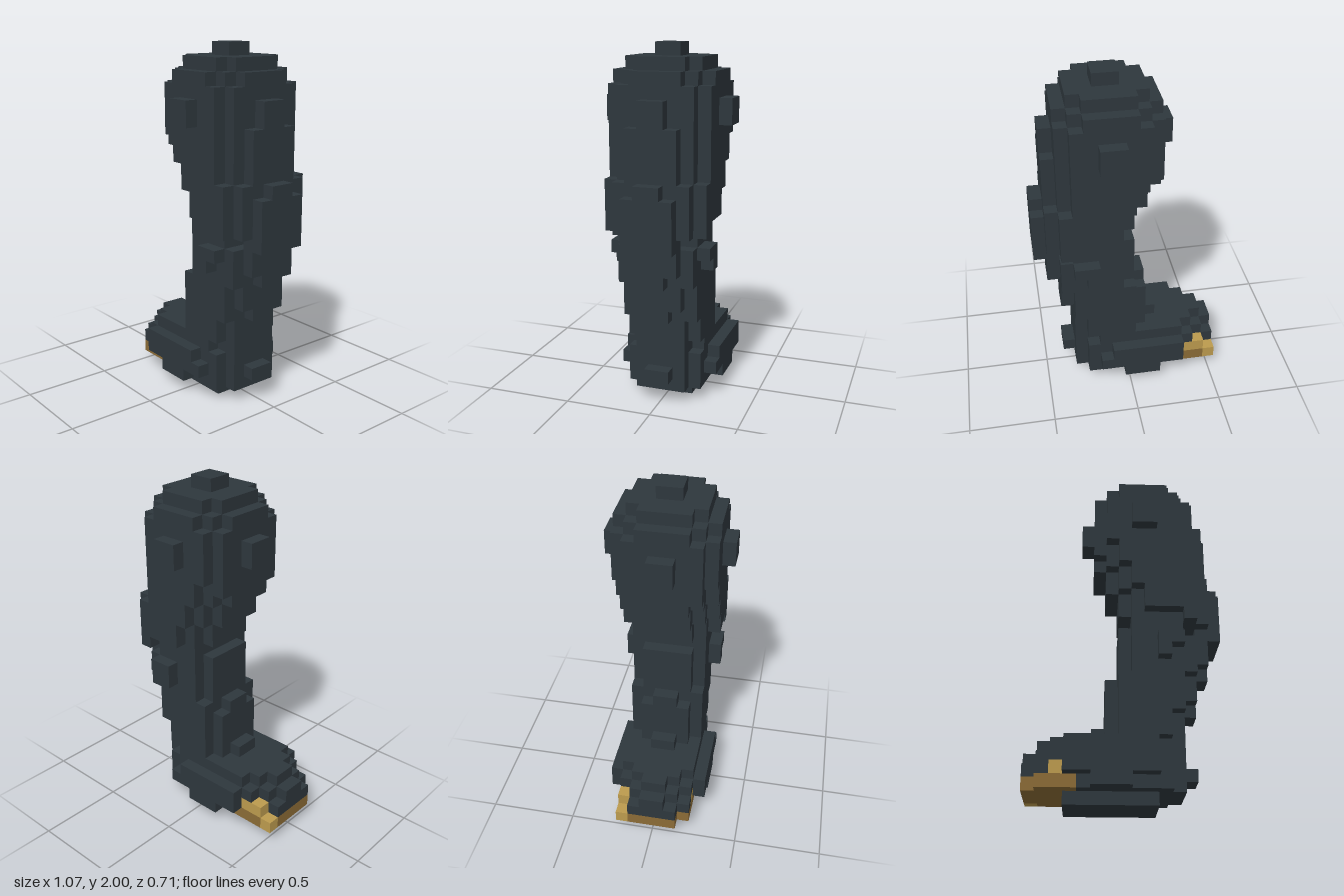
import * as THREE from 'three';
import { mergeGeometries } from 'three/addons/utils/BufferGeometryUtils.js';

const U = 1 / 14; // edge of one block

// Box between block coordinates; x counts from the toe tip, z from the centre line
function block(y0, y1, z0, z1, x0, x1) {
  const g = new THREE.BoxGeometry((x1 - x0) * U, (y1 - y0) * U, (z1 - z0) * U);
  return g.translate(((x0 + x1) / 2 - 7.5) * U, ((y0 + y1) / 2) * U, ((z0 + z1) / 2) * U);
}

// Symmetric slab: [bottom, top, half width, toe end, heel end]
const slab = ([y0, y1, h, x0, x1]) => block(y0, y1, -h, h, x0, x1);

export function createModel() {
  const group = new THREE.Group();
  const dark = new THREE.MeshStandardMaterial({ color: 0x2e373d });
  dark.name = 'darkSlate';
  const gold = new THREE.MeshStandardMaterial({ color: 0xbc9b4e });
  gold.name = 'gold';
  const bronze = new THREE.MeshStandardMaterial({ color: 0x8b6b36 });
  bronze.name = 'bronze';

  const add = (name, geometries, material) => {
    const mesh = new THREE.Mesh(mergeGeometries(geometries), material);
    mesh.name = name;
    group.add(mesh);
  };

  // Thigh: stepped octagonal layers, narrowing towards the knee
  add('thigh', [
    [26, 27, 3, 7, 11], [26, 27, 2, 6, 12],
    [25, 26, 4, 7, 11], [25, 26, 3, 6, 12], [25, 26, 2, 5, 13],
    [21, 25, 4, 6, 12], [21, 25, 3, 5, 13],
    [20, 21, 4, 7, 12], [20, 21, 3, 5, 13],
    [19, 20, 4, 7, 12], [19, 20, 3, 6, 13], [19, 20, 2, 5, 13],
    [18, 19, 4, 8, 12], [18, 19, 3, 7, 13], [18, 19, 2, 6, 13],
    [17, 18, 4, 8, 13], [17, 18, 3, 7, 14], [17, 18, 2, 6, 14],
    [15, 17, 4, 9, 13], [15, 17, 3, 8, 14], [15, 17, 2, 7, 14],
    [14, 15, 4, 12, 13], [14, 15, 3, 8, 14],
  ].map(slab), dark);

  // Raised ridge down the back of the thigh
  add('backRidge', [
    [22, 24, 1, 13, 14], [18, 22, 2, 13, 14],
    [17, 18, 1, 14, 15], [14, 17, 2, 14, 15], [13, 14, 2, 13, 15],
  ].map(slab), dark);

  // Square studs on the top, sides and front
  add('studs', [
    [27, 28, 1, 8, 10], [22, 24, 1, 4, 5],
  ].map(slab).concat([
    block(22, 24, 4, 5, 8, 10), block(22, 24, -5, -4, 8, 10),
  ]), dark);

  // Knee with small side lugs
  add('knee', [
    [13, 14, 3, 8, 12], [13, 14, 2, 7, 12],
    [12, 13, 4, 10, 12], [11, 12, 4, 10, 11],
  ].map(slab), dark);

  // Shin, stepping in towards the ankle
  add('shin', [
    [10, 13, 3, 8, 13], [10, 13, 2, 7, 13],
    [11, 13, 2, 13, 14], [10, 11, 1, 13, 14],
    [7, 10, 3, 7, 12], [7, 9, 2, 6, 12], [9, 10, 1, 6, 7],
    [8, 10, 2, 12, 13], [7, 8, 1, 12, 13],
    [5, 7, 3, 7, 11], [5, 7, 2, 6, 12], [5, 6, 1, 5, 6],
  ].map(slab), dark);

  // Foot with heel spur and an outer step above one toe
  add('foot', [
    [4, 5, 3, 3, 10], [4, 5, 2, 2, 12], [4, 5, 1, 1, 12],
    [3, 4, 4, 3, 9], [3, 4, 3, 2, 11], [3, 4, 2, 1, 12], [3, 4, 1, 0, 12],
    [2, 3, 4, 3, 10], [2, 3, 3, 3, 11], [2, 3, 2, 0, 12],
    [1, 2, 4, 5, 8], [1, 2, 3, 4, 11], [1, 2, 2, 4, 12],
    [2, 3, 1, 12, 13],
  ].map(slab).concat([block(2, 3, 2, 3, 1, 2)]), dark);

  add('sole', [slab([0, 1, 2, 3, 10])], dark);

  // Toe cap under the front of the foot
  add('toeCap', [slab([1, 2, 3, 1, 4]), slab([1, 2, 2, 0, 1])], bronze);

  // Bright claws at the sides of the toe
  add('claws', [
    block(2, 3, 2, 3, 2, 3),
    block(2, 3, -3, -2, 1, 3),
    block(1, 2, -3, -2, 0, 1),
  ], gold);

  return group;
}
